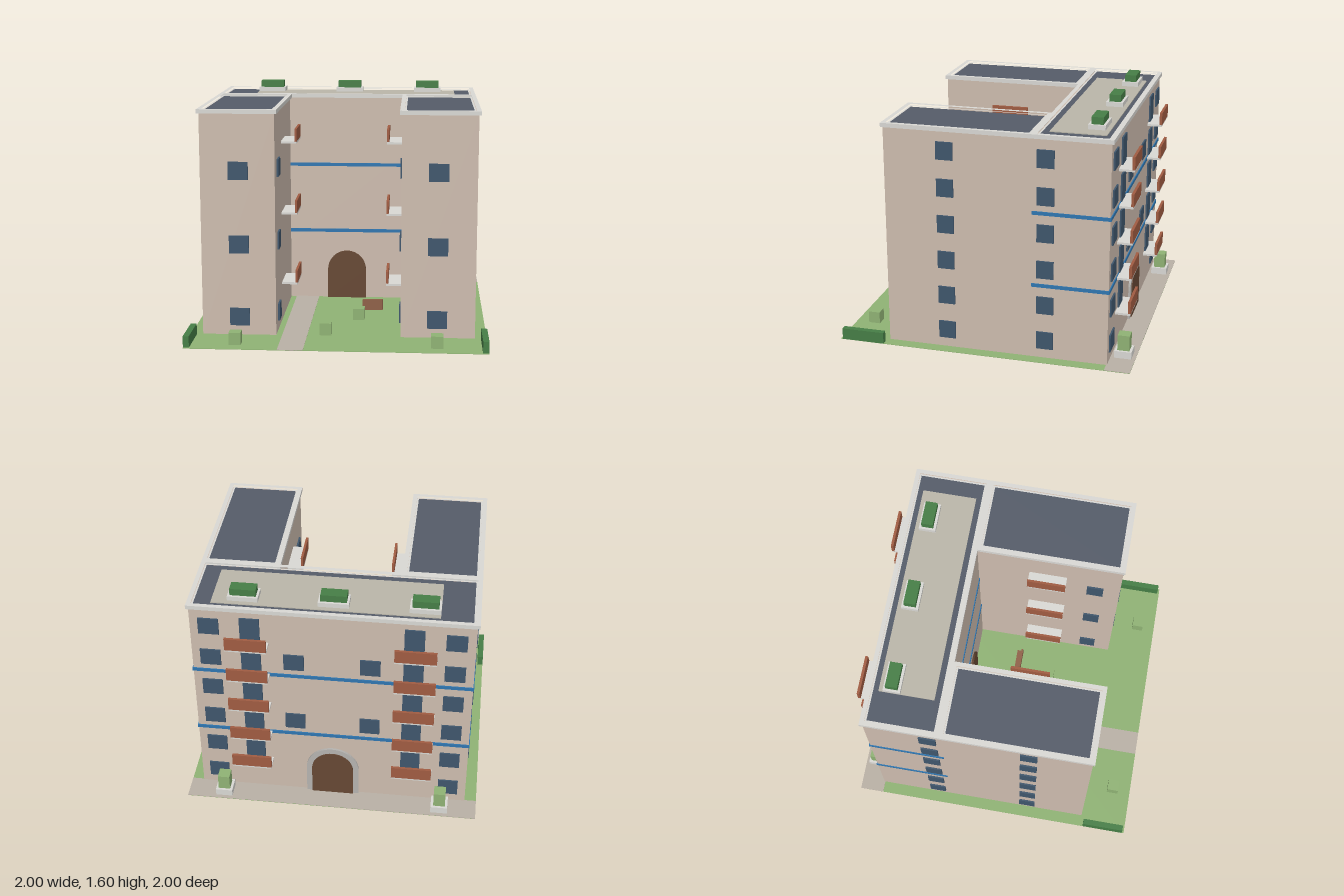
import * as THREE from 'three';

const mat = (color) => new THREE.MeshStandardMaterial({ color, flatShading: true });

export function createModel() {
  const model = new THREE.Group();
  const M = {
    wall: mat(0xcdbcae), glass: mat(0x3f566c), band: mat(0x2f76b0), rail: mat(0xa05c42),
    slab: mat(0xd9d8d4), roof: mat(0x555c69), terrace: mat(0xbab6a9), grass: mat(0x8fb274),
    hedge: mat(0x467e46), door: mat(0x664834), paving: mat(0xb9b0a5), bench: mat(0x8f6148),
    stone: mat(0xb5b3af),
  };

  // Box given by its minimum and maximum along each axis
  function box(name, m, x0, x1, y0, y1, z0, z1) {
    const mesh = new THREE.Mesh(new THREE.BoxGeometry(x1 - x0, y1 - y0, z1 - z0), m);
    mesh.position.set((x0 + x1) / 2, (y0 + y1) / 2, (z0 + z1) / 2);
    mesh.name = name;
    model.add(mesh);
    return mesh;
  }
  // The same box on the s = +1 or s = -1 side
  const sideBox = (s, name, m, x0, x1, ...rest) =>
    box(name, m, Math.min(s * x0, s * x1), Math.max(s * x0, s * x1), ...rest);

  // Rectangular rim around a flat roof
  function rim(name, x0, x1, z0, z1, w, y0, y1) {
    const rect = (C, i) => {
      const p = new C();
      p.moveTo(x0 + i, -z0 - i);
      p.lineTo(x1 - i, -z0 - i);
      p.lineTo(x1 - i, -z1 + i);
      p.lineTo(x0 + i, -z1 + i);
      p.closePath();
      return p;
    };
    const shape = rect(THREE.Shape, 0);
    shape.holes.push(rect(THREE.Path, w));
    const g = new THREE.ExtrudeGeometry(shape, { depth: y1 - y0, bevelEnabled: false });
    g.rotateX(-Math.PI / 2);
    const mesh = new THREE.Mesh(g, M.slab);
    mesh.position.y = y0;
    mesh.name = name;
    model.add(mesh);
  }
  function flatRoof(name, x0, x1, z0, z1) {
    rim(name + 'Parapet', x0, x1, z0, z1, 0.03, 1.51, 1.538);
    rim(name + 'ParapetStep', x0 + 0.03, x1 - 0.03, z0 + 0.03, z1 - 0.03, 0.012, 1.51, 1.528);
    box(name + 'Roof', M.roof, x0 + 0.03, x1 - 0.03, 1.505, 1.518, z0 + 0.03, z1 - 0.03);
  }

  // Round-headed outline
  function arch(C, r, spring) {
    const p = new C();
    p.moveTo(-r, 0);
    p.lineTo(r, 0);
    p.lineTo(r, spring);
    p.absarc(0, spring, r, 0, Math.PI, false);
    p.lineTo(-r, 0);
    return p;
  }
  function archMesh(name, m, shape, z0, z1) {
    const g = new THREE.ExtrudeGeometry(shape, { depth: z1 - z0, bevelEnabled: false, curveSegments: 10 });
    const mesh = new THREE.Mesh(g, m);
    mesh.position.z = z0;
    mesh.name = name;
    model.add(mesh);
  }

  // Ground and paving
  box('lawn', M.grass, -1, 1, 0.001, 0.004, -1, 1);
  box('backPavement', M.paving, -1, 1, 0.002, 0.006, -1, -0.83);
  box('path', M.paving, -0.38, -0.21, 0, 0.006, -0.33, 1);
  box('passageFloor', M.paving, -0.2, 0.16, 0, 0.006, -0.82, -0.34);

  // Main block and roof
  box('mainBlock', M.wall, -0.92, 0.92, 0.002, 1.512, -0.835, -0.33);
  flatRoof('main', -0.935, 0.935, -0.85, -0.325);
  box('roofTerrace', M.terrace, -0.685, 0.787, 1.515, 1.524, -0.775, -0.405);
  for (const x of [-0.585, 0, 0.585]) {
    box('roofPlanter', M.slab, x - 0.1, x + 0.1, 1.52, 1.555, -0.745, -0.63);
    box('roofHedge', M.hedge, x - 0.085, x + 0.085, 1.55, 1.603, -0.728, -0.648);
  }

  // Coloured bands round the main block
  for (const y of [0.505, 1.003]) box('band', M.band, -0.926, 0.926, y, y + 0.024, -0.842, -0.324);

  // Arched gateway with a stone surround at the back
  archMesh('gate', M.door, arch(THREE.Shape, 0.142, 0.22), -0.857, -0.315);
  const surround = arch(THREE.Shape, 0.18, 0.22);
  surround.holes.push(arch(THREE.Path, 0.14, 0.22));
  archMesh('gateSurround', M.stone, surround, -0.85, -0.83);

  for (const s of [1, -1]) {
    // Wing and roof
    sideBox(s, 'wing', M.wall, 0.42, 0.92, 0.002, 1.512, -0.34, 0.67);
    flatRoof('wing', s > 0 ? 0.405 : -0.935, s > 0 ? 0.935 : -0.405, -0.335, 0.682);

    for (let f = 0; f < 6; f++) {
      const y0 = 0.07 + 0.25 * f, y1 = y0 + 0.12;
      // Outer side windows and outer back windows
      for (const z of [0.255, -0.415])
        sideBox(s, 'sideWindow', M.glass, 0.91, 0.931, y0, y1, z - 0.057, z + 0.057);
      sideBox(s, 'backWindow', M.glass, 0.73, 0.865, y0, y1, -0.846, -0.82);

      // Windows and courtyard balconies on every other floor
      if (f % 2 === 0) {
        sideBox(s, 'frontWindow', M.glass, 0.598, 0.732, y0, y1, 0.66, 0.681);
        sideBox(s, 'courtWindow', M.glass, 0.408, 0.43, y0, y1, 0.44, 0.555);
        if (f > 0) sideBox(s, 'backWindow', M.glass, 0.183, 0.317, y0, y1, -0.846, -0.82);
        const b = 0.26 + 0.25 * f;
        sideBox(s, 'courtBalcony', M.slab, 0.31, 0.425, b, b + 0.015, 0.03, 0.295);
        sideBox(s, 'courtRailing', M.rail, 0.31, 0.326, b + 0.012, b + 0.1, 0.03, 0.295);
      }
      // Back balconies with doors
      if (f < 5) {
        const b = 0.26 + 0.25 * f;
        sideBox(s, 'backBalcony', M.slab, 0.41, 0.68, b, b + 0.015, -0.938, -0.83);
        sideBox(s, 'backRailing', M.rail, 0.41, 0.68, b + 0.012, b + 0.1, -0.94, -0.922);
        sideBox(s, 'balconyDoor', M.glass, 0.465, 0.595, b + 0.012, b + 0.2, -0.846, -0.82);
      }
    }

    // Corner hedges and back planters
    sideBox(s, 'hedge', M.hedge, 0.96, 1, 0.002, 0.08, 0.69, 0.985);
    sideBox(s, 'planter', M.slab, 0.69, 0.805, 0.002, 0.055, -0.975, -0.86);
    sideBox(s, 'planterBush', M.grass, 0.708, 0.788, 0.05, 0.163, -0.958, -0.877);
  }

  // Clipped bushes
  for (const [x, z] of [[-0.67, 0.87], [0.665, 0.87], [-0.087, 0.62], [0.12, 0.245]])
    box('bush', M.grass, x - 0.04, x + 0.04, 0.002, 0.086, z - 0.04, z + 0.04);

  // Courtyard bench
  box('benchSeat', M.bench, 0.135, 0.28, 0.002, 0.045, -0.025, 0.02);
  box('benchBack', M.bench, 0.135, 0.28, 0.04, 0.082, 0.005, 0.02);

  return model;
}
